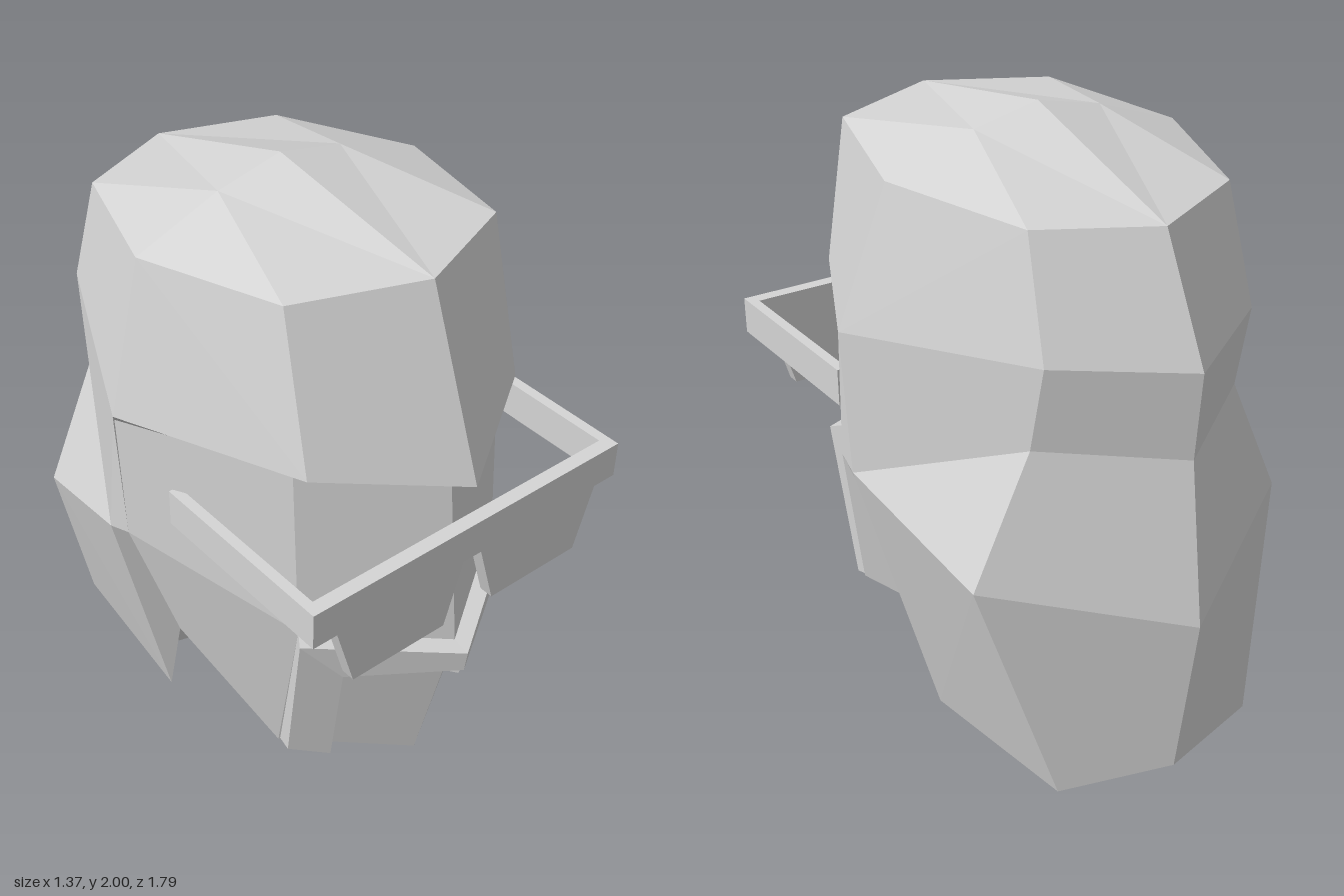
import * as THREE from 'three';

const grey = new THREE.MeshStandardMaterial({ color: 0xd4d4d4 });
grey.name = 'plain grey';

// Faceted mesh from right-half polygons (3 or 4 corners), mirrored across x = 0.
// Each polygon has one normal; a quad folds between its second and fourth corners.
function facets(name, polys) {
  const pos = [], nor = [];
  const v = (p) => new THREE.Vector3(...p);
  for (const [a, b, c, d = a] of polys) {
    const n = v(c).sub(v(a)).cross(v(d).sub(v(b))).normalize();
    for (const tri of d === a ? [[a, b, c]] : [[b, c, d], [b, d, a]]) {
      for (const p of tri) { pos.push(...p); nor.push(n.x, n.y, n.z); }
      for (const p of tri.reverse()) { pos.push(-p[0], p[1], p[2]); nor.push(-n.x, n.y, n.z); }
    }
  }
  const geo = new THREE.BufferGeometry();
  geo.setAttribute('position', new THREE.Float32BufferAttribute(pos, 3));
  geo.setAttribute('normal', new THREE.Float32BufferAttribute(nor, 3));
  const mesh = new THREE.Mesh(geo, grey);
  mesh.name = name;
  return mesh;
}

// Quads between an upper and a lower row, both running front to back
const strip = (up, low) => up.slice(1).map((p, i) => [up[i], low[i], low[i + 1], p]);

export function createModel() {
  const model = new THREE.Group();
  model.name = 'head';

  // Rows run from the front centre round the side to the back centre
  const top = [0, 2, -0.03], topSide = [0.23, 1.95, -0.03];
  const crown = [[0, 1.897, 0.645], [0.395, 1.885, 0.48], [0.53, 1.847, -0.02], [0.36, 1.815, -0.505], [0, 1.8, -0.665]];
  const brow = [[0, 1.307, 0.87], [0.41, 1.365, 0.605], [0.68, 1.385, 0.035], [0.38, 1.44, -0.615], [0, 1.42, -0.853]];
  const faceTop = [[0, 1.297, 0.765], [0.405, 1.353, 0.535], [0.675, 1.372, 0.035]];
  const cheek = [[0, 0.67, 0.835], [0.41, 0.75, 0.57], [0.675, 0.953, 0.065]];
  const jaw = [[0, 0.05, 0.69], [0.41, 0.18, 0.47], [0.455, 0.345, -0.01]];
  const nape = [[0.685, 0.928, -0.02], [0.385, 1.155, -0.553], [0, 1.13, -0.827]];
  const bulge = [nape[0], [0.583, 0.73, -0.547], [0, 0.585, -0.895]];
  const hem = [[0.445, 0, -0.1], [0.38, 0, -0.7], [0, 0, -0.805]];

  // Hair cap with its overhanging brow
  model.add(facets('hair', [
    ...crown.slice(1).map((p, i) => [crown[i], p, topSide]),
    [top, crown[0], topSide], [crown[4], top, topSide],
    ...strip(crown, brow),
    ...strip(brow.slice(0, 3), faceTop),
  ]));

  // Back of the head and neck
  model.add(facets('backOfHead', [
    ...strip(brow.slice(2), nape),
    [nape[0], bulge[1], nape[1]],
    [nape[1], bulge[1], bulge[2], nape[2]],
    [bulge[0], hem[0], bulge[1]], [bulge[1], hem[0], hem[1]],
    [bulge[2], bulge[1], hem[1], hem[2]],
    [faceTop[2], cheek[2], nape[0], brow[2]],
    [cheek[2], jaw[2], hem[0], nape[0]],
  ]));

  model.add(facets('face', [...strip(faceTop, cheek), ...strip(cheek, jaw)]));

  // Underside of the chin, front of the neck and its flat bottom
  const u0 = [0, 0.21, 0.32], u1 = [0.36, 0.21, 0.32];
  const v0 = [0, 0.25, -0.025], v1 = [0.37, 0.25, -0.025];
  const n0 = [0, 0, -0.4], n1 = [0.26, 0, -0.4], n2 = [0.4, 0, -0.28];
  model.add(facets('underside', [
    [jaw[0], u0, u1, jaw[1]], [jaw[1], u1, v1, jaw[2]], [u0, v0, v1, u1],
    [v0, n0, n1, v1], [v1, n1, n2], [v1, n2, hem[0], jaw[2]],
    [n0, hem[2], hem[1], n1], [n1, hem[1], n2], [n2, hem[1], hem[0]],
  ]));

  // Raised moustache band with side strips down to the jaw
  const a0 = [0, 0.655, 0.895], a1 = [0.44, 0.735, 0.615];
  const c0 = [0, 0.575, 0.885], c1 = [0.32, 0.585, 0.68];
  const c0b = [0, 0.585, 0.81], c1b = [0.285, 0.59, 0.635];
  const d1 = [0.41, 0.175, 0.52], d1b = [0.405, 0.185, 0.47];
  const e1 = [0.29, 0.135, 0.595], e1b = [0.255, 0.137, 0.55];
  model.add(facets('moustache', [
    [a0, c0, c1, a1], [a1, c1, e1, d1],
    [cheek[0], a0, a1, cheek[1]], [a1, d1, d1b, cheek[1]],
    [d1, e1, e1b, d1b], [c0, c0b, c1b, c1], [c1, c1b, e1b, e1],
  ]));

  // Glasses: bar and lenses in one plate, plus two temples
  const glasses = new THREE.Group();
  glasses.name = 'glasses';
  const half = [[0.607, 1.17], [0.607, 1.045], [0.52, 1.045], [0.455, 0.825], [0.1, 0.825], [0.035, 1.045]];
  const outline = [...half, ...half.map(([x, y]) => [-x, y]).reverse()];
  const plate = new THREE.Shape(outline.map(([x, y]) => new THREE.Vector2(x, y)));
  const lenses = new THREE.Mesh(new THREE.ExtrudeGeometry(plate, { depth: 0.047, bevelEnabled: false }), grey);
  lenses.name = 'lenses';
  lenses.position.z = 0.83;
  glasses.add(lenses);
  for (const s of [1, -1]) {
    const temple = new THREE.Mesh(new THREE.BoxGeometry(0.035, 0.125, 0.63), grey);
    temple.name = s > 0 ? 'leftTemple' : 'rightTemple';
    temple.position.set(s * 0.5895, 1.1075, 0.515);
    glasses.add(temple);
  }
  model.add(glasses);
  return model;
}
